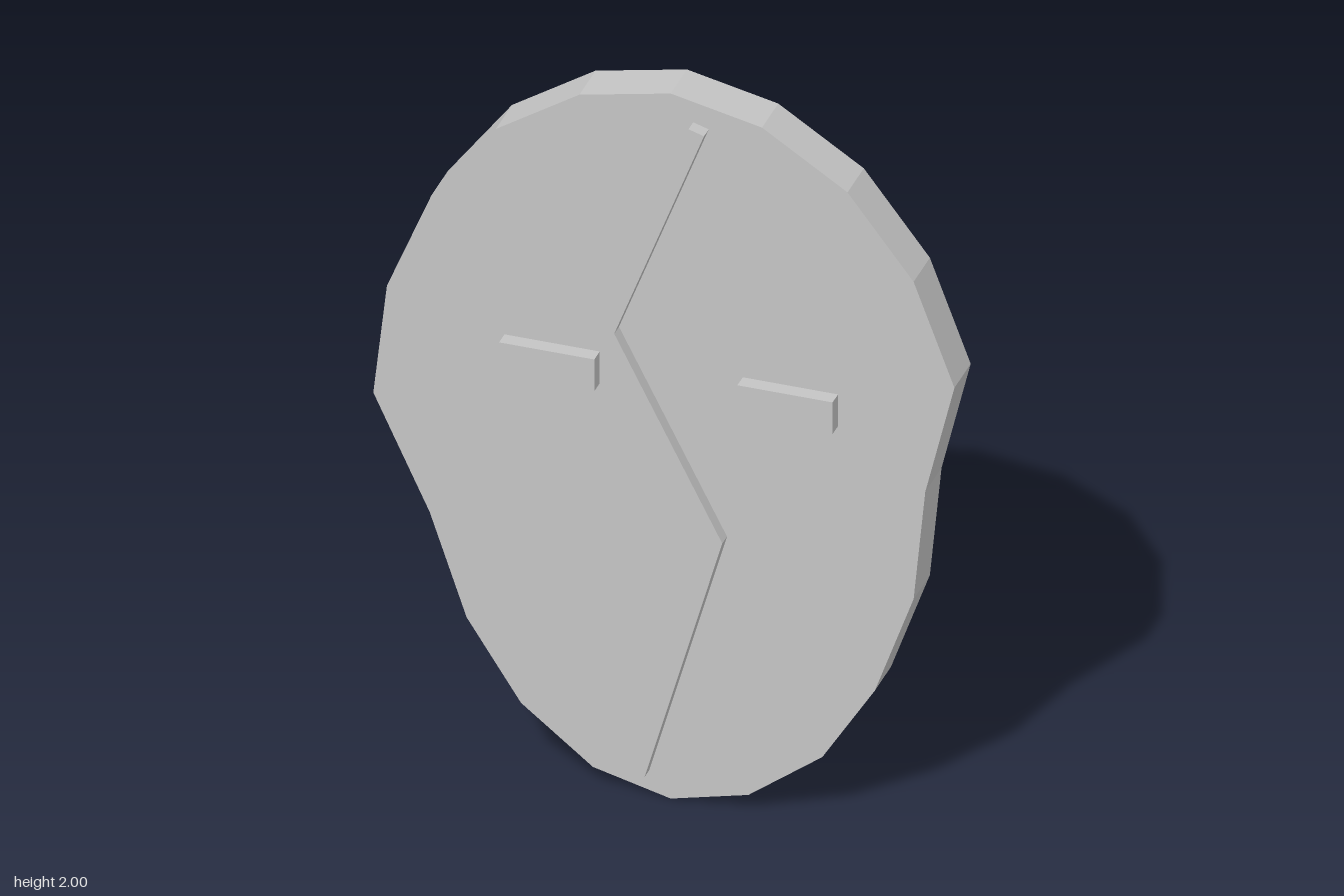
import * as THREE from 'three';

// Flat plate from an [x, y] outline, extruded between two z values
function plate(name, points, z0, z1, material) {
  const shape = new THREE.Shape(points.map(([x, y]) => new THREE.Vector2(x, y)));
  const geometry = new THREE.ExtrudeGeometry(shape, { depth: z1 - z0, bevelEnabled: false });
  geometry.translate(0, 0, z0);
  const mesh = new THREE.Mesh(geometry, material);
  mesh.name = name;
  return mesh;
}

export function createModel() {
  const grey = new THREE.MeshStandardMaterial({ color: 0xc4c4c4 });
  grey.name = 'light grey';
  const group = new THREE.Group();
  group.name = 'mask';

  // Faceted, slightly lopsided oval face, clockwise from the top
  const outline = [
    [0.015, 2], [0.25, 1.95], [0.47, 1.81], [0.64, 1.59], [0.745, 1.31],
    [0.67, 1], [0.64, 0.69], [0.54, 0.41], [0.405, 0.195], [0.215, 0.05],
    [0.015, 0], [-0.185, 0.05], [-0.37, 0.195], [-0.51, 0.41], [-0.605, 0.69],
    [-0.75, 1], [-0.715, 1.31], [-0.6, 1.59], [-0.435, 1.81], [-0.22, 1.95],
  ];
  group.add(plate('facePlate', outline, -0.08, 0.04, grey));

  // Raised zigzag ridge running down the face
  const ridge = [
    [0.073, 1.93], [0.113, 1.918], [-0.118, 1.312], [0.16, 0.772],
    [-0.04, 0.07], [-0.08, 0.08], [0.12, 0.772], [-0.158, 1.312],
  ];
  group.add(plate('zigzagRidge', ridge, 0.03, 0.075, grey));

  // Raised rectangular eyes
  for (const [name, x] of [['rightEye', -0.29], ['leftEye', 0.323]]) {
    const eye = new THREE.Mesh(new THREE.BoxGeometry(0.245, 0.09, 0.05), grey);
    eye.position.set(x, 1.187, 0.055);
    eye.name = name;
    group.add(eye);
  }
  return group;
}
